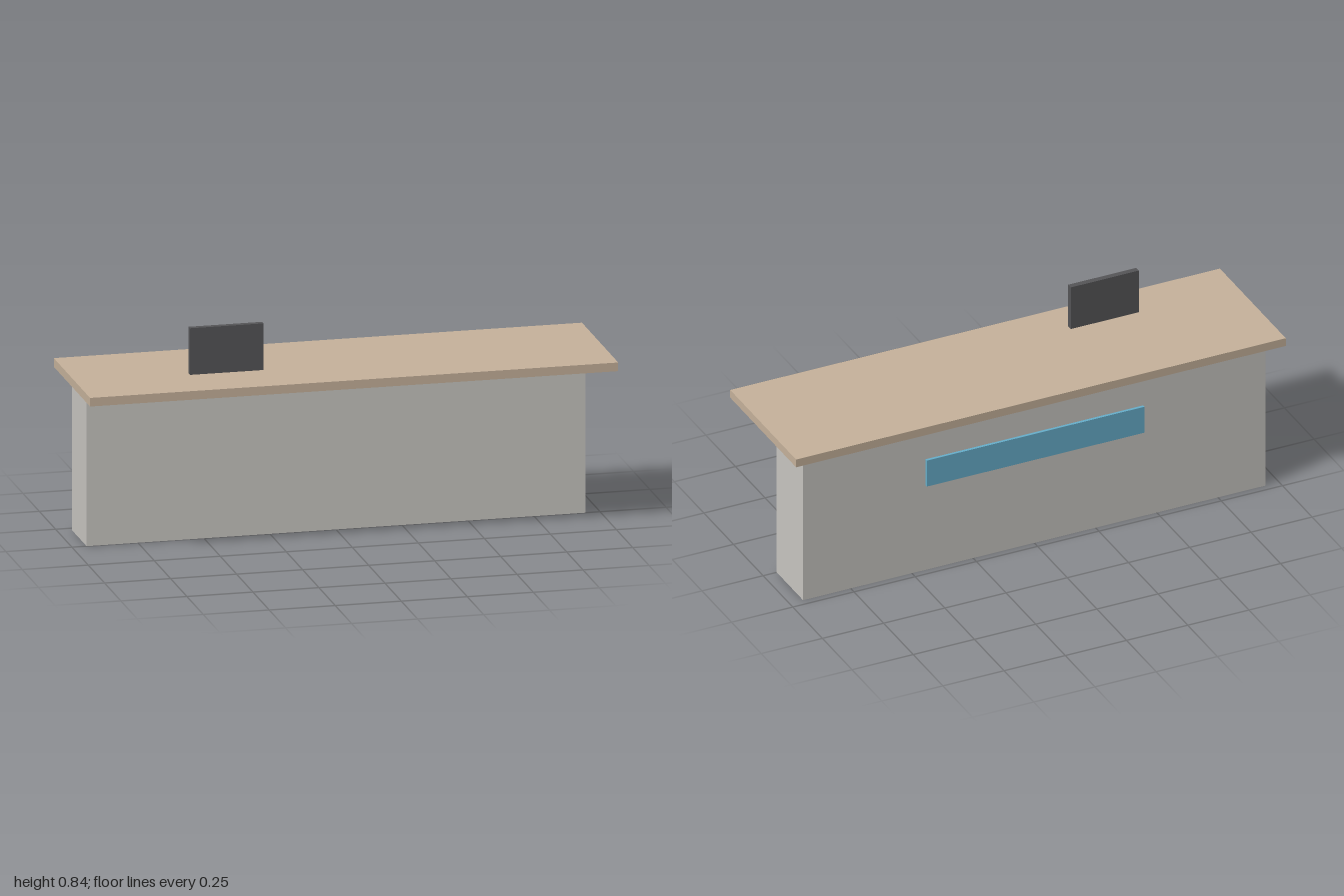
import * as THREE from 'three';

const paint = (name, color) => {
  const m = new THREE.MeshStandardMaterial({ color });
  m.name = name;
  return m;
};

export function createModel() {
  const model = new THREE.Group();
  model.name = 'receptionCounter';

  const grey = paint('warmGrey', 0xc8c6c1);
  const wood = paint('lightWood', 0xc6b29b);
  const dark = paint('darkGrey', 0x555557);
  const blue = paint('blue', 0x66aeca);

  const box = (name, material, size, position) => {
    const mesh = new THREE.Mesh(new THREE.BoxGeometry(...size), material);
    mesh.name = name;
    mesh.position.set(...position);
    model.add(mesh);
  };

  // Counter body, set back under the worktop
  box('counterBody', grey, [1.889, 0.613, 0.222], [0, 0.3065, -0.111]);
  // Overhanging worktop
  box('worktop', wood, [2, 0.033, 0.556], [0, 0.6295, 0]);
  // Monitor panel hovering just above the worktop
  box('monitor', dark, [0.278, 0.178, 0.022], [-0.444, 0.752, 0.111]);
  // Sign plate on the back of the body
  box('signPlate', blue, [0.889, 0.111, 0.011], [0, 0.4175, -0.2275]);

  return model;
}
